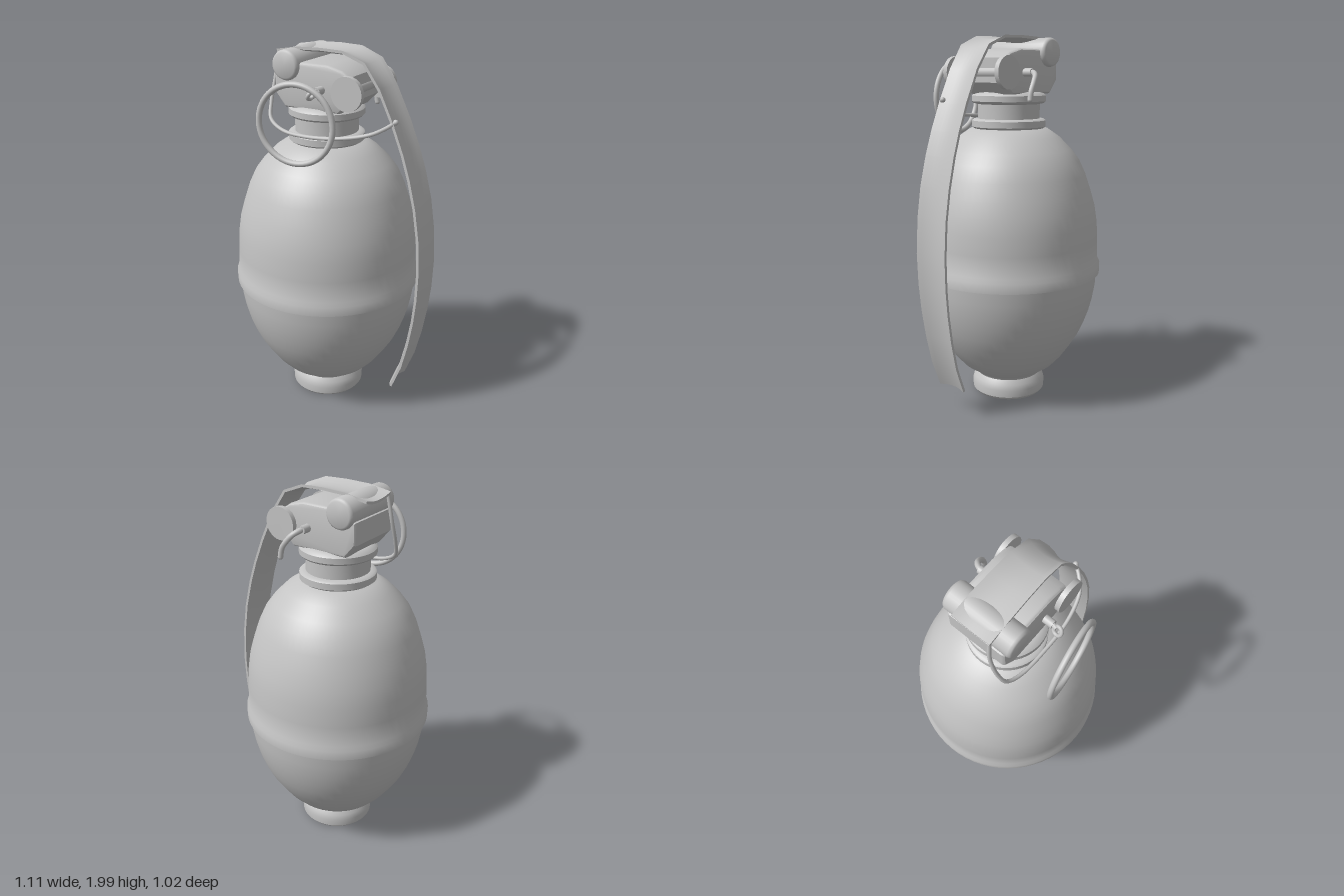
import * as THREE from 'three';
import { toCreasedNormals } from 'three/addons/utils/BufferGeometryUtils.js';

const CX = -0.055; // axis of the body

export function createModel() {
  const group = new THREE.Group();
  const metal = new THREE.MeshStandardMaterial({ color: 0xc4c4c4 });
  metal.name = 'grey metal';

  const add = (name, geometry, x = 0, y = 0, z = 0) => {
    const mesh = new THREE.Mesh(geometry, metal);
    mesh.name = name;
    mesh.position.set(x, y, z);
    group.add(mesh);
    return mesh;
  };
  const lathe = (profile, segments, crease = 0.6) => toCreasedNormals(
    new THREE.LatheGeometry(profile.map(([r, y]) => new THREE.Vector2(r, y)), segments), crease);
  const tube = (points, radius, steps) => new THREE.TubeGeometry(
    new THREE.CatmullRomCurve3(points.map(p => new THREE.Vector3(...p))), steps, radius, 10);

  // Egg-shaped body with foot and seam lip
  add('body', lathe([
    [0, 0.005], [0.19, 0.005], [0.203, 0.02], [0.205, 0.06], [0.197, 0.09], [0.18, 0.115],
    [0.185, 0.125], [0.212, 0.143], [0.265, 0.18], [0.315, 0.235], [0.36, 0.3], [0.4, 0.365],
    [0.43, 0.43], [0.455, 0.5], [0.473, 0.57], [0.486, 0.645], [0.491, 0.715],
    [0.507, 0.717], [0.508, 0.768], [0.496, 0.79], [0.493, 0.9], [0.487, 1.0], [0.473, 1.09],
    [0.45, 1.17], [0.42, 1.26], [0.385, 1.335], [0.34, 1.395], [0.275, 1.46], [0.21, 1.505], [0, 1.51],
  ], 64), CX);

  // Threaded neck with two collars
  add('neck', lathe([
    [0.17, 1.49], [0.19, 1.508], [0.2, 1.515], [0.2, 1.548], [0.19, 1.556], [0.167, 1.558],
    [0.167, 1.635], [0.19, 1.64], [0.2, 1.65], [0.2, 1.68], [0.19, 1.69], [0.17, 1.7], [0, 1.7],
  ], 48), CX);

  // Fuze head: bevelled side profile
  const headShape = new THREE.Shape([
    [-0.2, 1.705], [0.1, 1.705], [0.15, 1.755], [0.15, 1.865], [0.12, 1.885], [0.04, 1.905],
    [-0.13, 1.905], [-0.25, 1.86], [-0.25, 1.765],
  ].map(p => new THREE.Vector2(...p)));
  const head = new THREE.ExtrudeGeometry(headShape, {
    depth: 0.29, bevelEnabled: true, bevelThickness: 0.02, bevelSize: 0.016, bevelSegments: 3,
  });
  add('fuzeHead', toCreasedNormals(head, 0.5), 0, 0, -0.145);

  // Hinge barrel across the head, with rounded ends
  const hinge = lathe([
    [0, -0.192], [0.062, -0.192], [0.071, -0.187], [0.076, -0.175],
    [0.076, 0.175], [0.071, 0.187], [0.062, 0.192], [0, 0.192],
  ], 32, 0.7);
  hinge.rotateX(Math.PI / 2);
  add('hingeBarrel', hinge, -0.188, 1.905, 0);

  // Side discs, pin collars and stubs on both faces
  for (const side of [1, -1]) {
    const disc = new THREE.CylinderGeometry(0.085, 0.085, 0.026, 24);
    disc.rotateX(Math.PI / 2);
    add('sideDisc', disc, 0.165, 1.8, side * 0.178);
    const collar = new THREE.CylinderGeometry(0.021, 0.021, 0.06, 16);
    collar.rotateX(Math.PI / 2);
    add('pinCollar', collar, 0.012, 1.8, side * 0.185);
  }
  // Disc axle
  const axle = new THREE.CylinderGeometry(0.03, 0.03, 0.34, 16);
  axle.rotateX(Math.PI / 2);
  add('discAxle', axle, 0.145, 1.8, 0);

  // Safety pin: bent tail behind, eyelet in front
  add('pinTail', tube([
    [0.012, 1.8, -0.18], [0.015, 1.8, -0.22], [0.035, 1.785, -0.25],
    [0.065, 1.75, -0.265], [0.09, 1.71, -0.27], [0.1, 1.665, -0.27],
  ], 0.014, 20));
  add('pinTailEnd', new THREE.SphereGeometry(0.014, 10, 8), 0.1, 1.665, -0.27);
  add('pinShank', tube([[0.012, 1.8, 0.18], [0.01, 1.803, 0.215], [0.006, 1.8, 0.235]], 0.013, 8));
  const eyelet = add('pinEyelet', new THREE.TorusGeometry(0.023, 0.01, 8, 20), 0.004, 1.79, 0.245);
  eyelet.rotation.set(0.5, Math.PI / 2 - 0.2, 0, 'YXZ');

  // Pull ring
  const ring = add('pullRing', new THREE.TorusGeometry(0.194, 0.015, 12, 56), -0.02, 1.665, 0.355);
  ring.rotation.y = 0.145;

  // Safety wire from the lever's front corner around the neck to the lever
  add('safetyWire', tube([
    [-0.28, 1.95, 0.095], [-0.298, 1.82, 0.11], [-0.3, 1.7, 0.15], [-0.28, 1.625, 0.185],
    [-0.2, 1.58, 0.205], [-0.05, 1.567, 0.212], [0.15, 1.585, 0.205], [0.29, 1.615, 0.165],
    [0.35, 1.645, 0.11], [0.375, 1.665, 0.07],
  ], 0.01, 60));
  add('safetyWireEnd', new THREE.SphereGeometry(0.014, 10, 8), 0.375, 1.665, 0.07);

  // Safety lever and its pressed oval
  add('safetyLever', leverGeometry());
  const oval = new THREE.SphereGeometry(1, 20, 10);
  oval.scale(0.037, 0.012, 0.08);
  add('leverEmboss', oval, -0.198, 1.966, 0).rotation.z = 0.17;
  return group;
}

// Curved strip with a shallow gutter section; rows are x, y, half width
function leverGeometry() {
  const path = [
    [-0.285, 1.948, 0.105], [-0.16, 1.968, 0.105], [-0.03, 1.972, 0.102], [0.09, 1.968, 0.1],
    [0.2, 1.925, 0.096], [0.28, 1.81, 0.093], [0.36, 1.645, 0.094], [0.415, 1.51, 0.096],
    [0.455, 1.39, 0.098], [0.493, 1.24, 0.1], [0.518, 1.08, 0.1], [0.529, 0.9, 0.1],
    [0.524, 0.74, 0.098], [0.51, 0.6, 0.096], [0.485, 0.45, 0.093], [0.45, 0.3, 0.09], [0.395, 0.155, 0.087],
  ];
  const N = 9, L = 2 * N, thick = 0.014, lip = 0.019;
  const pos = [], idx = [];
  path.forEach(([x, y, w], i) => {
    const a = path[Math.max(i - 1, 0)], b = path[Math.min(i + 1, path.length - 1)];
    const len = Math.hypot(b[0] - a[0], b[1] - a[1]);
    const nx = -(b[1] - a[1]) / len, ny = (b[0] - a[0]) / len;
    for (let j = 0; j < L; j++) {
      const k = j < N ? j : L - 1 - j;
      const s = 1 - 2 * k / (N - 1);
      const d = lip * s * s - (j < N ? 0 : thick);
      pos.push(x + nx * d, y + ny * d, s * w);
    }
  });
  const quad = (a, b, c, d) => idx.push(a, b, d, b, c, d);
  for (let i = 0; i < path.length - 1; i++) {
    for (let j = 0; j < L; j++) {
      const k = (j + 1) % L;
      quad(i * L + j, (i + 1) * L + j, (i + 1) * L + k, i * L + k);
    }
  }
  const e = (path.length - 1) * L;
  for (let k = 0; k < N - 1; k++) {
    quad(k, k + 1, L - 2 - k, L - 1 - k);
    quad(e + k, e + L - 1 - k, e + L - 2 - k, e + k + 1);
  }
  const geometry = new THREE.BufferGeometry();
  geometry.setAttribute('position', new THREE.Float32BufferAttribute(pos, 3));
  geometry.setIndex(idx);
  return toCreasedNormals(geometry, 0.7);
}
